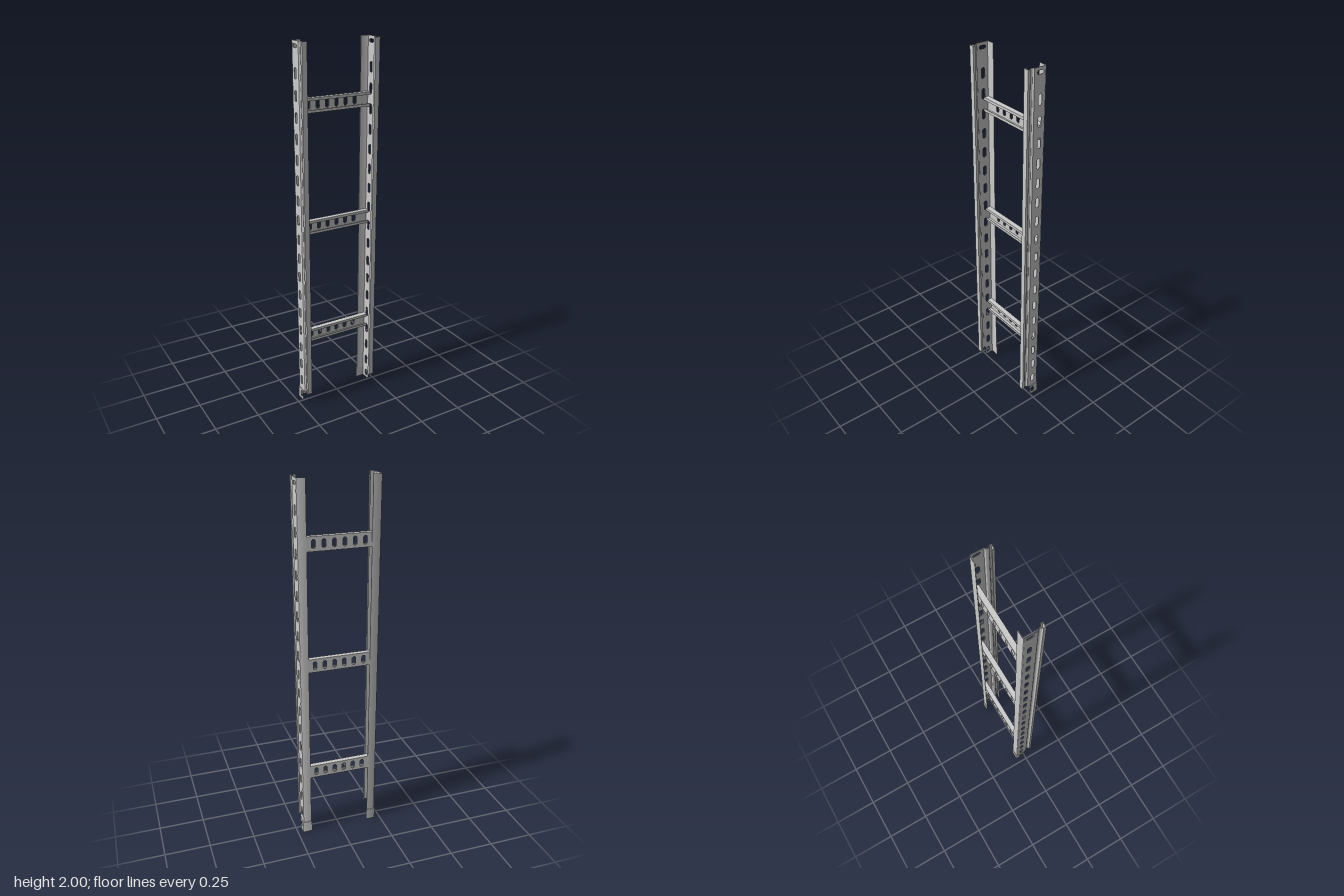
import * as THREE from 'three';
import { toCreasedNormals } from 'three/addons/utils/BufferGeometryUtils.js';

const T = 0.003; // sheet thickness
const material = new THREE.MeshStandardMaterial({ color: 0xcccccc });

// Thickens an open centre line [[u, v], ...] into a closed sheet-metal section
function section(pts, t = T) {
  const P = pts.map(([u, v]) => new THREE.Vector2(u, v));
  const normal = (a, b) => { const d = b.clone().sub(a).normalize(); return new THREE.Vector2(-d.y, d.x); };
  const a = [], b = [];
  P.forEach((p, i) => {
    const n1 = normal(P[Math.max(i - 1, 0)], P[Math.max(i, 1)]);
    const n2 = i < P.length - 1 ? normal(p, P[i + 1]) : n1;
    const m = n1.clone().add(n2).normalize();
    m.multiplyScalar(t / 2 / m.dot(n1));
    a.push(p.clone().add(m));
    b.unshift(p.clone().sub(m));
  });
  return new THREE.Shape([...a, ...b]);
}

// Slot with rounded ends, along the longer of w and h
function slot(cx, cy, w, h) {
  const r = Math.min(w, h) / 2, dx = w / 2 - r, dy = h / 2 - r, pts = [];
  for (let i = 0; i < 16; i++) {
    const t = ((i + 0.5) / 16) * Math.PI * 2;
    pts.push(new THREE.Vector2(
      cx + r * Math.cos(t) + dx * Math.sign(Math.cos(t)),
      cy + r * Math.sin(t) + dy * Math.sign(Math.sin(t))));
  }
  return new THREE.Path(pts);
}

const extrude = (shape, depth) => new THREE.ExtrudeGeometry(shape, { depth, bevelEnabled: false });

function add(group, name, geometry) {
  const mesh = new THREE.Mesh(toCreasedNormals(geometry, 0.6), material);
  mesh.name = name;
  group.add(mesh);
}

// Section given as [x, z], run upwards from y0 to y1
const upright = (pts, y0, y1) =>
  extrude(section(pts.map(([x, z]) => [x, -z])), y1 - y0).rotateX(-Math.PI / 2).translate(0, y0, 0);

// Plate outline given as (-z, y), thickened about the plane x
const sidePlate = (shape, x) => extrude(shape, T).rotateY(Math.PI / 2).translate(x - T / 2, 0, 0);

function rail(s, name) {
  const g = new THREE.Group();
  g.name = name;
  const X = 0.2155, bottom = 0.06, top = 2;
  const side = (pts) => pts.map(([x, z]) => [s * x, z]);

  // Slotted web
  const web = new THREE.Shape([[-0.005, bottom], [0.0485, bottom], [0.0485, top], [-0.005, top]]
    .map(([u, v]) => new THREE.Vector2(u, v)));
  for (let i = 0; i < 17; i++) web.holes.push(slot(0.02, 0.124 + i * 0.1076, 0.02, 0.055));
  web.holes.push(slot(0.02, 1.975, 0.038, 0.018));
  add(g, 'railWeb', sidePlate(web, s * X));

  // Back flange with bent corner
  add(g, 'railBackFlange', upright(side([[0.17, -0.0515], [0.2125, -0.0515],
    [0.2146, -0.0506], [X, -0.0485]]), bottom, top));

  // Front part: inward groove, front flange and return lip
  const groove = [];
  for (let i = 0; i <= 8; i++) {
    const a = (i / 8) * Math.PI;
    groove.push([0.2125 - 0.006 * Math.sin(a), 0.028 - 0.0095 * Math.cos(a)]);
  }
  add(g, 'railFrontProfile', upright(side([[X, 0.005], [X, 0.0155], ...groove, [X, 0.0405],
    [X, 0.052], [0.191, 0.052], [0.191, 0.04]]), 0.068, top));

  // Foot bracket wrapped round the outside of the rail
  const fx = 0.2185, plate = new THREE.Shape();
  plate.moveTo(0.0125, 0);
  plate.lineTo(0.052, 0);
  plate.lineTo(0.052, 0.065);
  plate.lineTo(0, 0.065);
  plate.lineTo(0, 0.0125);
  plate.quadraticCurveTo(0, 0, 0.0125, 0);
  plate.holes.push(slot(0.02, 0.034, 0.02, 0.038));
  add(g, 'footSide', sidePlate(plate, s * fx));
  add(g, 'footBack', upright(side([[0.167, -0.0545], [0.216, -0.0545], [0.2178, -0.0538], [fx, -0.052]]), 0, 0.065));
  return g;
}

function rung(y, name) {
  const g = new THREE.Group();
  g.name = name;
  const L = 0.214, H = 0.0375, back = -0.0485, front = -0.0235;

  // Slotted web at the back
  const web = new THREE.Shape([[-L, -H], [L, -H], [L, H], [-L, H]].map(([u, v]) => new THREE.Vector2(u, v)));
  for (let i = 0; i < 6; i++) web.holes.push(slot(-0.135 + i * 0.054, 0, 0.02, 0.045));
  add(g, 'rungWeb', extrude(web, T).translate(0, 0, back - T / 2));

  // Upper and lower flanges with lips
  for (const s of [1, -1]) {
    const v = s * (H - T / 2);
    const pts = [[-back - T / 2, v], [-front, v], [-front, v - s * 0.013]];
    add(g, s > 0 ? 'rungTopFlange' : 'rungBottomFlange',
      extrude(section(pts), 2 * L).rotateY(Math.PI / 2).translate(-L, 0, 0));
  }
  g.position.y = y;
  return g;
}

export function createModel() {
  const model = new THREE.Group();
  model.name = 'cableLadder';
  model.add(rail(1, 'leftRail'), rail(-1, 'rightRail'));
  [0.392, 1.037, 1.682].forEach((y, i) => model.add(rung(y, ['lowerRung', 'middleRung', 'upperRung'][i])));
  return model;
}
